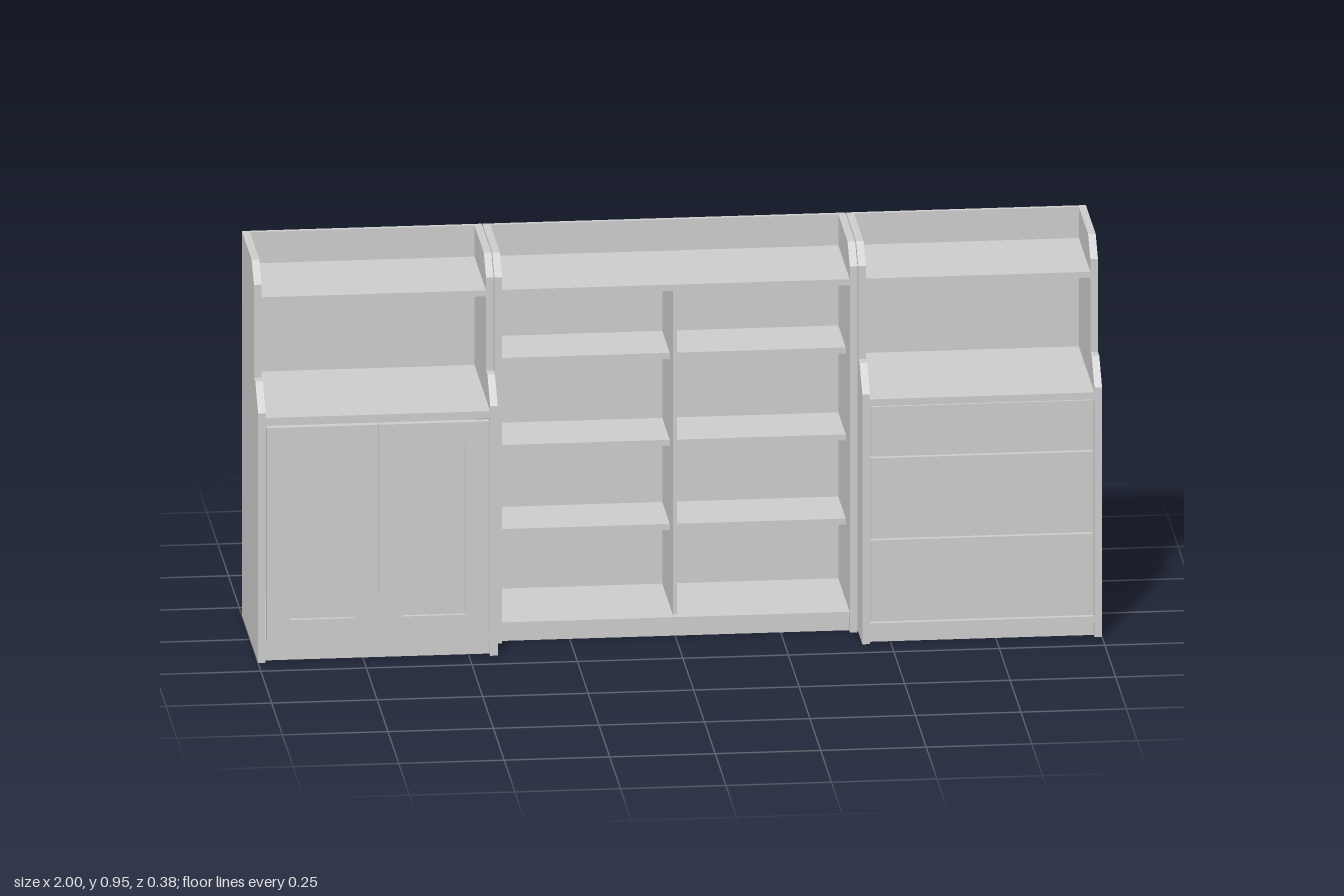
import * as THREE from 'three';

const T = 0.018;          // side panel thickness
const S = 0.015;          // shelf thickness
const BACK = -0.19;       // rear plane
const INNER = -0.178;     // front of the back panels
const SHALLOW = 0.09, DEEP = 0.185;

const material = new THREE.MeshStandardMaterial({ color: 0xcccccc });

function add(group, name, geometry) {
  const mesh = new THREE.Mesh(geometry, material);
  mesh.name = name;
  group.add(mesh);
  return mesh;
}

// Box given by its minimum and maximum on each axis
function box(group, name, x0, x1, y0, y1, z0, z1) {
  const mesh = add(group, name, new THREE.BoxGeometry(x1 - x0, y1 - y0, z1 - z0));
  mesh.position.set((x0 + x1) / 2, (y0 + y1) / 2, (z0 + z1) / 2);
  return mesh;
}

// Upright panel with its top front corner cut off
function sidePanel(group, name, x, y0, y1, front, cutZ, cutY) {
  const shape = new THREE.Shape([
    [BACK, y0], [front, y0], [front, y1 - cutY], [front - cutZ, y1], [BACK, y1],
  ].map(([z, y]) => new THREE.Vector2(-z, y)));
  const mesh = add(group, name, new THREE.ExtrudeGeometry(shape, { depth: T, bevelEnabled: false }));
  mesh.rotation.y = Math.PI / 2;
  mesh.position.x = x;
}

// Parts shared by every cabinet: back, plinth, floor and upper shelf
function carcass(group, x0, x1, front) {
  const a = x0 + T, b = x1 - T;
  box(group, 'backPanel', a, b, 0, 0.95, BACK, INNER);
  box(group, 'plinth', a, b, 0, 0.036, INNER, front - 0.018);
  box(group, 'floor', a, b, 0.036, 0.05, INNER, front - 0.004);
  box(group, 'upperShelf', a, b, 0.858, 0.873, INNER, SHALLOW - 0.002);
}

// Deep lower cabinet with a shallow hutch above
function sideCabinet(name, x0, x1) {
  const group = new THREE.Group();
  group.name = name;
  for (const x of [x0, x1 - T]) {
    sidePanel(group, 'lowerSide', x, 0, 0.675, DEEP, 0.065, 0.058);
    sidePanel(group, 'upperSide', x, 0.675, 0.95, SHALLOW, 0.053, 0.045);
  }
  carcass(group, x0, x1, DEEP);
  box(group, 'counter', x0 + T, x1 - T, 0.588, 0.605, INNER, DEEP);
  return group;
}

// Framed door with a recessed panel
function door(group, x0, x1) {
  const y0 = 0.05, y1 = 0.582, w = 0.056;
  const rect = (P, a, b, c, d) => new P([[a, c], [b, c], [b, d], [a, d]].map(p => new THREE.Vector2(...p)));
  const frame = rect(THREE.Shape, x0, x1, y0, y1);
  frame.holes.push(rect(THREE.Path, x0 + w, x1 - w, y0 + w, y1 - w));
  const mesh = add(group, 'doorFrame', new THREE.ExtrudeGeometry(frame, { depth: 0.018, bevelEnabled: false }));
  mesh.position.z = 0.174;
  box(group, 'doorPanel', x0 + w, x1 - w, y0 + w, y1 - w, 0.174, 0.182);
}

export function createModel() {
  const model = new THREE.Group();
  model.name = 'wallCabinet';

  // Cabinet with two doors
  const left = sideCabinet('doorCabinet', -1, -0.432);
  door(left, -0.98, -0.717);
  door(left, -0.714, -0.452);
  model.add(left);

  // Cabinet with three drawers
  const right = sideCabinet('drawerCabinet', 0.432, 1);
  for (const [y0, y1] of [[0.053, 0.254], [0.258, 0.457], [0.461, 0.584]]) {
    box(right, 'drawerFront', 0.452, 0.98, y0, y1, 0.16, 0.178);
  }
  model.add(right);

  // Open bookcase in the middle
  const middle = new THREE.Group();
  middle.name = 'bookcase';
  for (const x of [-0.43, 0.43 - T]) sidePanel(middle, 'bookcaseSide', x, 0, 0.95, SHALLOW, 0.053, 0.045);
  carcass(middle, -0.43, 0.43, SHALLOW);
  box(middle, 'divider', -0.005, 0.005, 0.05, 0.858, INNER, 0.065);
  for (const y of [0.237, 0.445, 0.66]) {
    box(middle, 'leftShelf', -0.412, -0.005, y, y + S, INNER, -0.005);
    box(middle, 'rightShelf', 0.005, 0.412, y, y + S, INNER, -0.005);
  }
  model.add(middle);

  return model;
}
